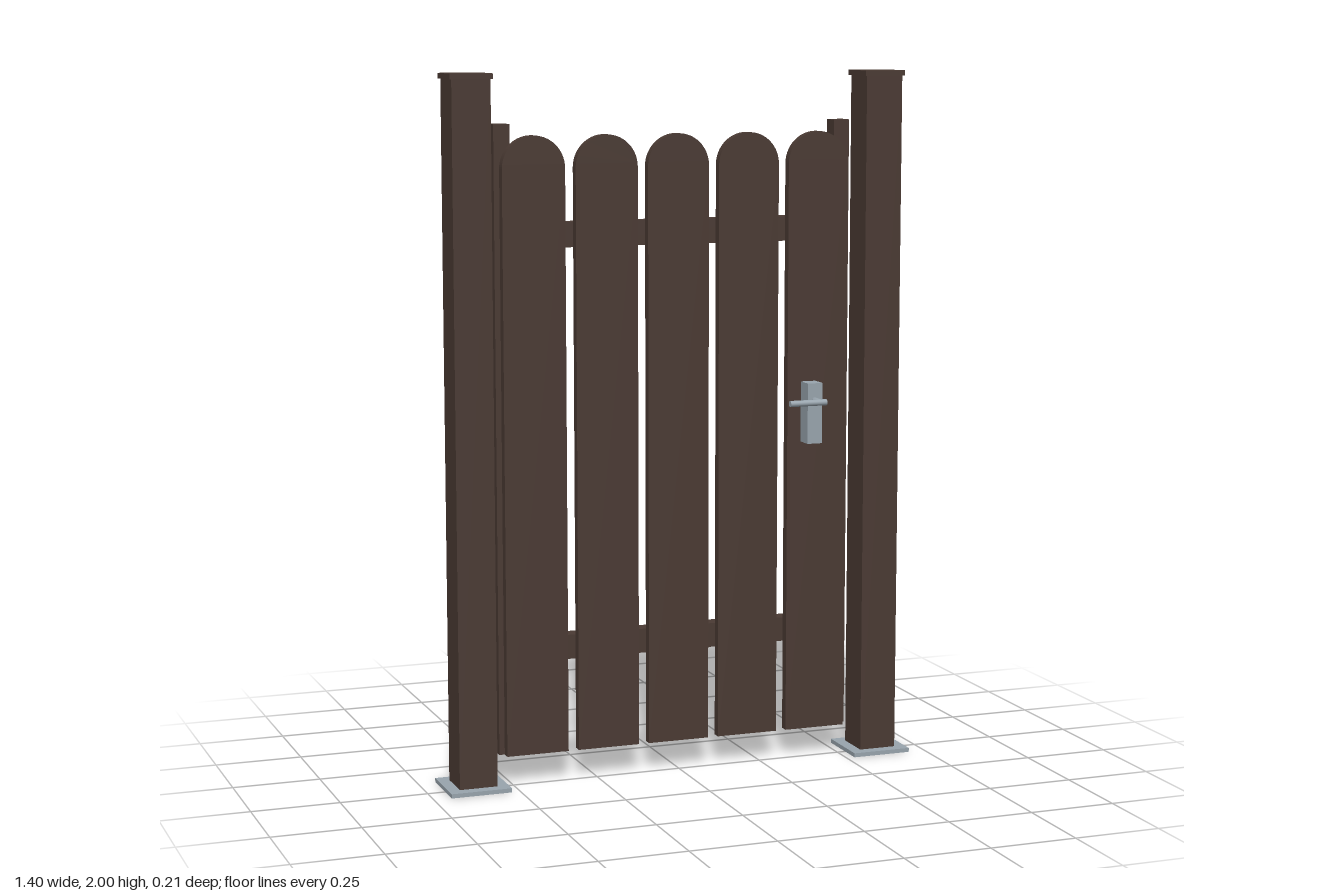
import * as THREE from 'three';

export function createModel() {
  const gate = new THREE.Group();
  gate.name = 'gardenGate';
  const wood = new THREE.MeshStandardMaterial({ color: 0x4a3a33 });
  wood.name = 'darkBrownWood';
  const metal = new THREE.MeshStandardMaterial({ color: 0x98a4ad });
  metal.name = 'greyMetal';

  const add = (name, geometry, material, x, y, z) => {
    const mesh = new THREE.Mesh(geometry, material);
    mesh.name = name;
    mesh.position.set(x, y, z);
    gate.add(mesh);
    return mesh;
  };
  // Box given by its centre in x and z and its vertical extent
  const box = (name, material, w, d, y0, y1, x, z) =>
    add(name, new THREE.BoxGeometry(w, y1 - y0, d), material, x, (y0 + y1) / 2, z);

  // Square foot plate fitted around the post
  const square = (Type, s) => new Type([[-s, -s], [s, -s], [s, s], [-s, s]].map(([x, y]) => new THREE.Vector2(x, y)));
  const footShape = square(THREE.Shape, 0.0875);
  footShape.holes.push(square(THREE.Path, 0.055));
  const footGeometry = new THREE.ExtrudeGeometry(footShape, { depth: 0.012, bevelEnabled: false });
  footGeometry.rotateX(-Math.PI / 2);

  // Posts, caps, foot plates and the frame's upright stiles
  for (const side of [-1, 1]) {
    const x = side * 0.612;
    box('post', wood, 0.11, 0.11, 0, 1.985, x, -0.018);
    box('postCap', wood, 0.122, 0.122, 1.985, 2, x, -0.018);
    add('footPlate', footGeometry, metal, x, 0, -0.018);
    box('stile', wood, 0.047, 0.05, 0.083, 1.86, side * 0.508, -0.054);
  }

  // Cross rails with a hinge beside each
  for (const y of [0.38, 1.552]) {
    box('rail', wood, 0.97, 0.048, y - 0.035, y + 0.035, 0, -0.052);
  }
  for (const y of [0.361, 1.585]) {
    add('hinge', new THREE.CylinderGeometry(0.0125, 0.0125, 0.12, 20), metal, -0.538, y, -0.075);
  }

  // Round-topped planks
  const half = 0.091, spring = 1.738;
  const plankShape = new THREE.Shape();
  plankShape.moveTo(-half, 0.083);
  plankShape.lineTo(half, 0.083);
  plankShape.lineTo(half, spring);
  plankShape.absarc(0, spring, half, 0, Math.PI, false);
  plankShape.closePath();
  const plankGeometry = new THREE.ExtrudeGeometry(plankShape, { depth: 0.026, bevelEnabled: false, curveSegments: 24 });
  for (let i = -2; i <= 2; i++) add('plank', plankGeometry, wood, i * 0.2125, 0, -0.028);

  // Lever handle: lock box, spindle and grip
  box('lockPlate', metal, 0.045, 0.052, 0.937, 1.112, 0.398, 0.024);
  const spindle = add('handleSpindle', new THREE.CylinderGeometry(0.009, 0.009, 0.045, 20), metal, 0.397, 1.062, 0.07);
  spindle.rotation.x = Math.PI / 2;
  const grip = add('handleGrip', new THREE.CylinderGeometry(0.009, 0.009, 0.112, 20), metal, 0.359, 1.062, 0.092);
  grip.rotation.z = Math.PI / 2;

  return gate;
}
